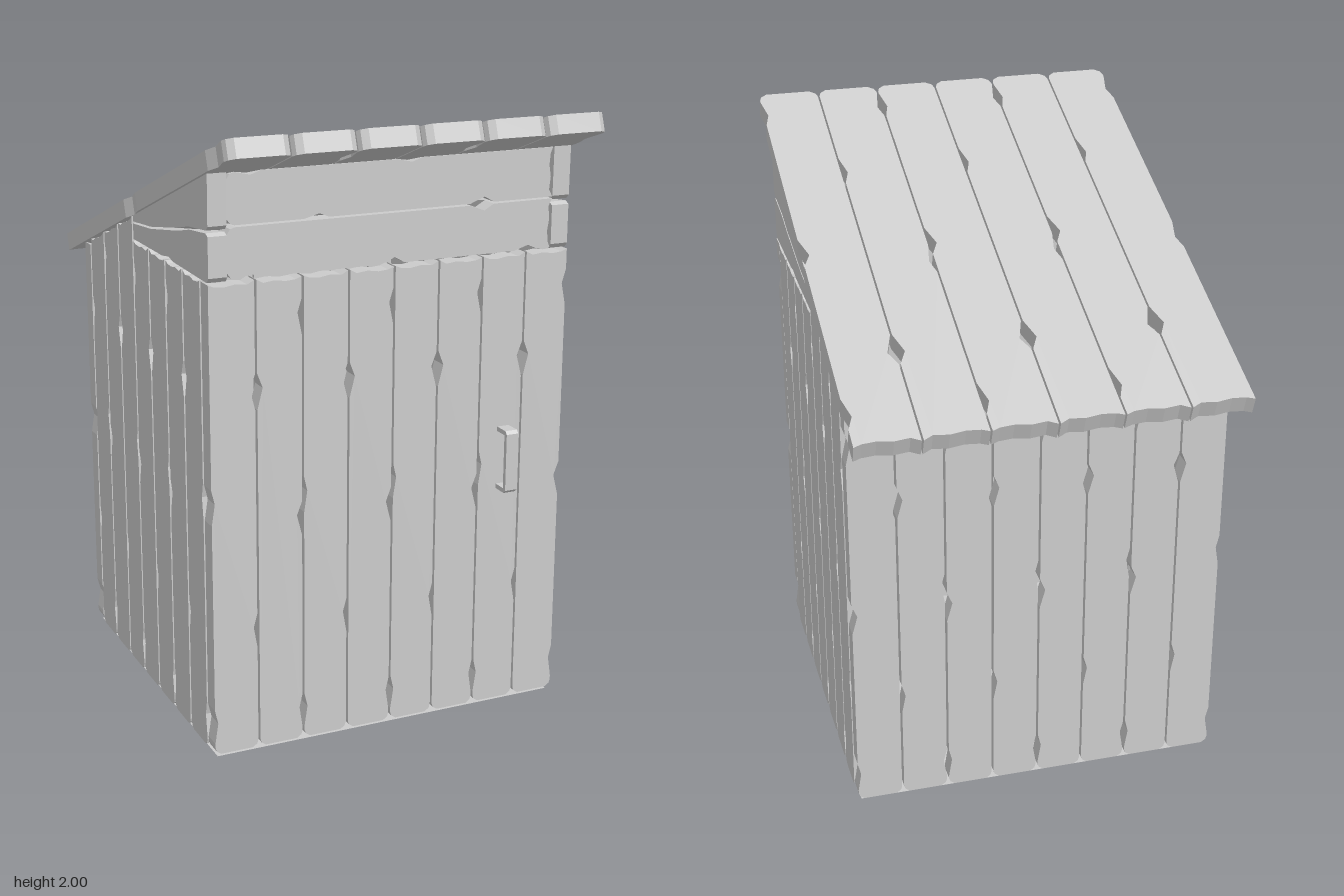
import * as THREE from 'three';

const material = new THREE.MeshStandardMaterial({ color: 0xcccccc, flatShading: true, side: THREE.DoubleSide });
const THICK = 0.06;

// Extrude an outline, centred on its thickness
function slab(points, depth, name) {
  const shape = new THREE.Shape(points.map(([x, y]) => new THREE.Vector2(x, y)));
  const geo = new THREE.ExtrudeGeometry(shape, { depth, bevelEnabled: false });
  geo.translate(0, 0, -depth / 2);
  const mesh = new THREE.Mesh(geo, material);
  mesh.name = name;
  return mesh;
}

// Chipped plank standing on y = 0; odd planks are mirrored and chipped a little differently.
// topAt(x) gives the height of the upper end at local x.
function plank(w, len, odd, topAt, name) {
  const h = w / 2, d = w * 0.12, s = odd ? -1 : 1;
  const top = (x, drop) => [x, topAt(s * x) - drop * w];
  const chip = (side, f, depth) => [
    [side * h, (f - 0.045) * len], [side * (h - depth), f * len], [side * h, (f + 0.03) * len],
  ];
  const right = [...(odd ? [] : chip(1, 0.27, d * 0.7)), ...chip(1, 0.78, d)];
  const left = [
    ...chip(-1, 0.07, d * 0.6), ...chip(-1, odd ? 0.5 : 0.55, odd ? d : d * 0.6),
    ...(odd ? chip(-1, 0.925, d * 0.8) : []),
  ];
  const points = [
    [-h + w * 0.13, 0], [h - w * 0.13, 0], [h - w * 0.03, w * 0.07], [h, w * 0.16],
    ...right,
    top(h, 0), top(h * 0.7, 0.08), top(h * 0.2, 0.05), top(-h * 0.3, 0.09), top(-h * 0.75, 0.07), top(-h, 0.02),
    ...left.reverse(),
    [-h, w * 0.16], [-h + w * 0.03, w * 0.07],
  ];
  return slab(points.map(([x, y]) => [s * x, y]), THICK, name);
}

// A row of planks side by side along local x
function plankRow(name, count, pitch, gap, len, topAt = () => len) {
  const row = new THREE.Group();
  row.name = name;
  for (let i = 0; i < count; i++) {
    const cx = (i - (count - 1) / 2) * pitch;
    const p = plank(pitch - gap, len, i % 2 === 1, (x) => topAt(cx + x, i), name + 'Plank');
    p.position.x = cx;
    row.add(p);
  }
  return row;
}

export function createModel() {
  const model = new THREE.Group();
  model.name = 'plankShed';
  const BASE = 0.013, PITCH = 0.1537, GAP = 0.007;
  const roofUnder = (z) => 1.652 + 0.367 * z;

  // Front and back walls
  const front = plankRow('frontWall', 8, PITCH, GAP, 1.53);
  front.position.set(0, BASE, 0.572);
  const back = plankRow('backWall', 8, PITCH, GAP, 1.42);
  back.position.set(0, BASE, -0.576);
  model.add(front, back);

  // Side walls: the rear three planks rise to the sloping roof
  for (const side of [1, -1]) {
    const wall = plankRow('sideWall', 7, PITCH, GAP + 0.004, 1.53,
      (x, i) => (i < 4 ? 1.53 : roofUnder(-x) - BASE));
    wall.rotation.y = Math.PI / 2;
    wall.position.set(side * 0.582, BASE, 0);
    model.add(wall);

    // Tapered boards filling the gable; outline in (-z, y)
    const lower = slab([
      [-0.603, 1.56], [-0.59, 1.545], [-0.3, 1.548], [-0.26, 1.556], [-0.2, 1.547], [0.075, 1.545],
      [0.075, 1.596], [-0.1, 1.612], [-0.35, 1.655], [-0.45, 1.678], [-0.585, 1.693], [-0.603, 1.685],
    ], THICK, 'lowerGableBoard');
    const upper = slab([
      [-0.603, 1.715], [-0.59, 1.702], [-0.44, 1.686], [-0.34, 1.662], [-0.1, 1.619], [0.075, 1.603],
      [0.075, 1.622], [-0.59, 1.867], [-0.605, 1.872],
    ], THICK, 'upperGableBoard');
    for (const board of [lower, upper]) {
      board.rotation.y = Math.PI / 2;
      board.position.x = side * 0.58;
      model.add(board);
    }
  }

  // Two horizontal boards above the front wall
  const header = plankRow('headerBoards', 2, 0.163, 0.006, 1.1);
  header.rotation.z = -Math.PI / 2;
  header.position.set(-0.55, 1.71, 0.572);
  model.add(header);

  // Sloping roof, high at the front
  const roof = plankRow('roof', 6, 0.2078, 0.006, 1.682);
  roof.rotation.x = -(Math.PI / 2 + 0.3525);
  roof.position.set(0, 1.973, 0.79);
  model.add(roof);

  // Floor sheet
  const floor = new THREE.Mesh(new THREE.PlaneGeometry(1.2, 1.18), material);
  floor.name = 'floor';
  floor.rotation.x = Math.PI / 2;
  model.add(floor);

  // Bracket handle; outline in (-z, y)
  const handle = slab([
    [-0.595, 0.765], [-0.655, 0.765], [-0.665, 0.775], [-0.665, 0.965], [-0.655, 0.975], [-0.595, 0.975],
    [-0.595, 0.96], [-0.65, 0.96], [-0.65, 0.78], [-0.595, 0.78],
  ], 0.042, 'doorHandle');
  handle.rotation.y = Math.PI / 2;
  handle.position.x = 0.397;
  model.add(handle);

  return model;
}
